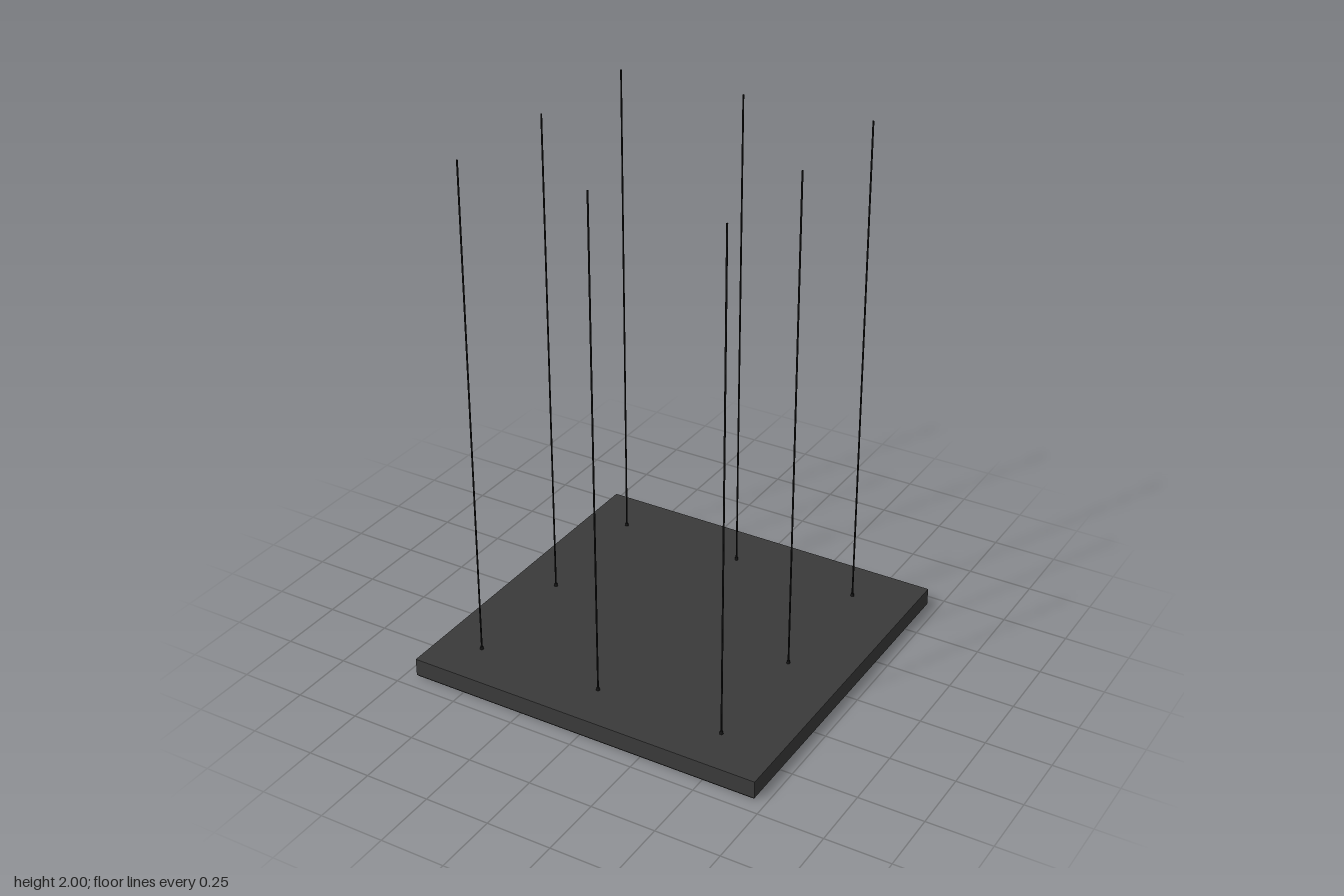
import * as THREE from 'three';

const HALF_X = 0.706, HALF_Z = 0.69, TOP = 0.075;
const dark = new THREE.MeshStandardMaterial({ color: 0x3a3a3a });
const black = new THREE.MeshStandardMaterial({ color: 0x141414 });
const inner = new THREE.MeshStandardMaterial({ color: 0x303030 });

function add(group, name, geometry, material, x = 0, y = 0, z = 0) {
  const mesh = new THREE.Mesh(geometry, material);
  mesh.name = name;
  mesh.position.set(x, y, z);
  group.add(mesh);
  return mesh;
}

// Sweeps a profile of [half width, height] around a rectangle, with flat faces
function squareLathe(profile) {
  const points = profile.map(([r, y]) => new THREE.Vector2(r * Math.SQRT2, y));
  const geometry = new THREE.LatheGeometry(points, 4, Math.PI / 4).toNonIndexed();
  geometry.scale(HALF_X, 1, HALF_Z);
  geometry.computeVertexNormals();
  return geometry;
}

export function createModel() {
  const model = new THREE.Group();
  model.name = 'hangingPanel';

  // Flat housing with a recessed underside and a slightly chamfered lower edge
  add(model, 'housing', squareLathe([
    [0, 0.04], [0.905, 0.04], [0.905, 0], [0.992, 0], [1, 0.007], [1, TOP], [0, TOP],
  ]), dark);

  // Raised frame around the recessed panel
  add(model, 'recessFrame', squareLathe([
    [0.845, 0.041], [0.845, 0.03], [0.865, 0.03], [0.865, 0.041],
  ]), dark);

  // Recessed panel in two pieces, divided by a narrow seam strip
  const seamX = 0.19, edgeX = 0.845 * HALF_X, depth = 1.69 * HALF_Z;
  for (const [a, b] of [[-edgeX, seamX - 0.004], [seamX + 0.004, edgeX]]) {
    add(model, 'recessPanel', new THREE.BoxGeometry(b - a, 0.005, depth), inner, (a + b) / 2, 0.038, 0);
  }
  add(model, 'seamStrip', new THREE.BoxGeometry(0.008, 0.009, depth), dark, seamX, 0.0365, 0);

  // Eight suspension wires around an empty centre, each with a small collar
  const wire = new THREE.CylinderGeometry(0.0033, 0.0033, 2 - TOP, 10);
  const collar = new THREE.CylinderGeometry(0.005, 0.007, 0.012, 12);
  [-0.537, -0.031, 0.476].forEach((x, i) => {
    [-0.5, 0.018, 0.512].forEach((z, j) => {
      if (i === 1 && j === 1) return;
      add(model, 'wire', wire, black, x, 1 + TOP / 2, z);
      add(model, 'wireCollar', collar, black, x, TOP + 0.006, z);
    });
  });
  return model;
}
